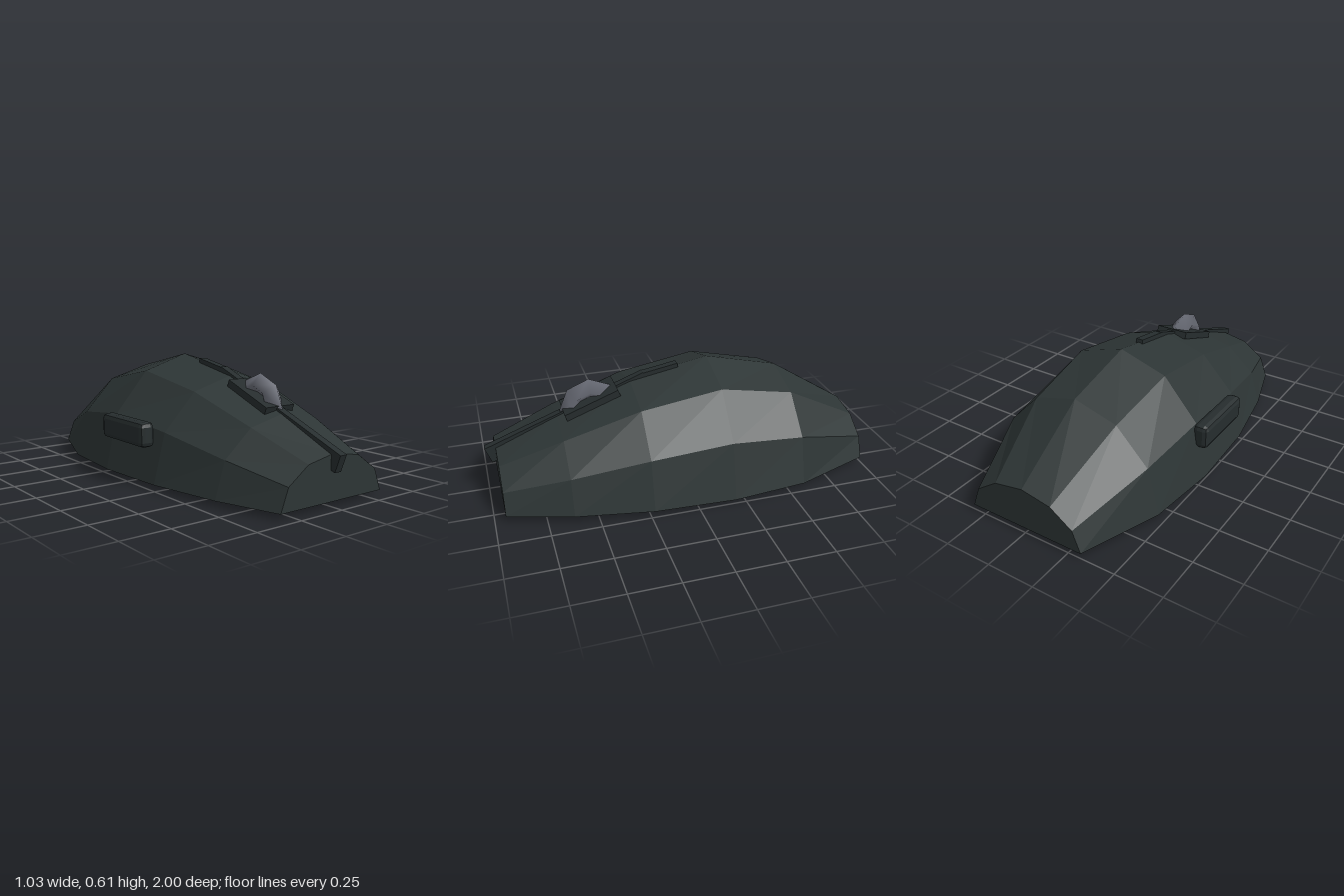
import * as THREE from 'three';
import { RoundedBoxGeometry } from 'three/addons/geometries/RoundedBoxGeometry.js';

const mat = (name, color) => {
  const m = new THREE.MeshStandardMaterial({ color });
  m.name = name;
  return m;
};

// Faceted shell: half twelve-sided sections [z, half width, height] joined along z
function shellGeometry(sections, baseY) {
  const rings = sections.map(([z, w, h]) =>
    Array.from({ length: 7 }, (_, i) => {
      const a = (i * Math.PI) / 6;
      return [w * Math.cos(a), baseY + h * Math.sin(a), z];
    }));
  const pos = [];
  const tri = (a, b, c) => pos.push(...a, ...b, ...c);
  for (let s = 0; s < rings.length - 1; s++) {
    const A = rings[s], B = rings[s + 1];
    for (let i = 0; i < 7; i++) {
      const j = (i + 1) % 7; // the last step closes the underside
      tri(A[i], B[i], B[j]);
      tri(A[i], B[j], A[j]);
    }
  }
  // end caps
  const F = rings[0], R = rings[rings.length - 1];
  for (let i = 1; i < 6; i++) {
    tri(F[0], F[i], F[i + 1]);
    tri(R[0], R[i + 1], R[i]);
  }
  const g = new THREE.BufferGeometry();
  g.setAttribute('position', new THREE.Float32BufferAttribute(pos, 3));
  g.computeVertexNormals();
  return g;
}

export function createModel() {
  const model = new THREE.Group();
  model.name = 'computerMouse';
  const shellMat = mat('shell charcoal', 0x2d3535);
  const trimMat = mat('trim dark', 0x262d2e);
  const wheelMat = mat('wheel grey', 0x686b75);
  const footMat = mat('foot grey', 0xa5a196);

  const add = (name, geometry, material, x = 0, y = 0, z = 0) => {
    const m = new THREE.Mesh(geometry, material);
    m.name = name;
    m.position.set(x, y, z);
    model.add(m);
    return m;
  };

  // Bar whose upper face runs from front point [z, y] to back point [z, y]
  const slopedBar = (name, front, back, width, thick) => {
    const dz = front[0] - back[0], dy = back[1] - front[1];
    const tilt = Math.atan2(dy, dz);
    const bar = add(name, new THREE.BoxGeometry(width, thick, Math.hypot(dz, dy)), trimMat, 0,
      (front[1] + back[1]) / 2 - Math.cos(tilt) * thick / 2,
      (front[0] + back[0]) / 2 - Math.sin(tilt) * thick / 2);
    bar.rotation.x = tilt;
  };

  // Shell
  add('shell', shellGeometry([
    [0.945, 0.32, 0.223], [0.62, 0.42, 0.36], [0.23, 0.49, 0.505],
    [-0.19, 0.51, 0.582], [-0.585, 0.47, 0.487], [-1, 0.32, 0.223],
  ], 0.027), shellMat);

  // Button divider and wheel surround
  slopedBar('frontDivider', [1, 0.25], [0.16, 0.567], 0.04, 0.09);
  slopedBar('rearDivider', [0.17, 0.562], [-0.025, 0.596], 0.04, 0.03);
  slopedBar('wheelSurround', [0.59, 0.415], [0.31, 0.52], 0.18, 0.036);

  // Scroll wheel with a diamond section
  const wheel = add('scrollWheel', new THREE.TorusGeometry(0.105, 0.055, 4, 8), wheelMat, 0, 0.4, 0.445);
  wheel.rotation.y = Math.PI / 2;

  // Chamfered side button on the model's right
  const button = new RoundedBoxGeometry(0.08, 0.127, 0.385, 1, 0.025);
  button.computeVertexNormals();
  add('sideButton', button, trimMat, -0.477, 0.261, -0.028);

  // Glide feet
  for (const [name, z] of [['frontFoot', 0.625], ['rearFoot', -0.74]]) {
    add(name, new THREE.BoxGeometry(0.45, 0.03, 0.16), footMat, 0, 0.015, z);
  }
  return model;
}
